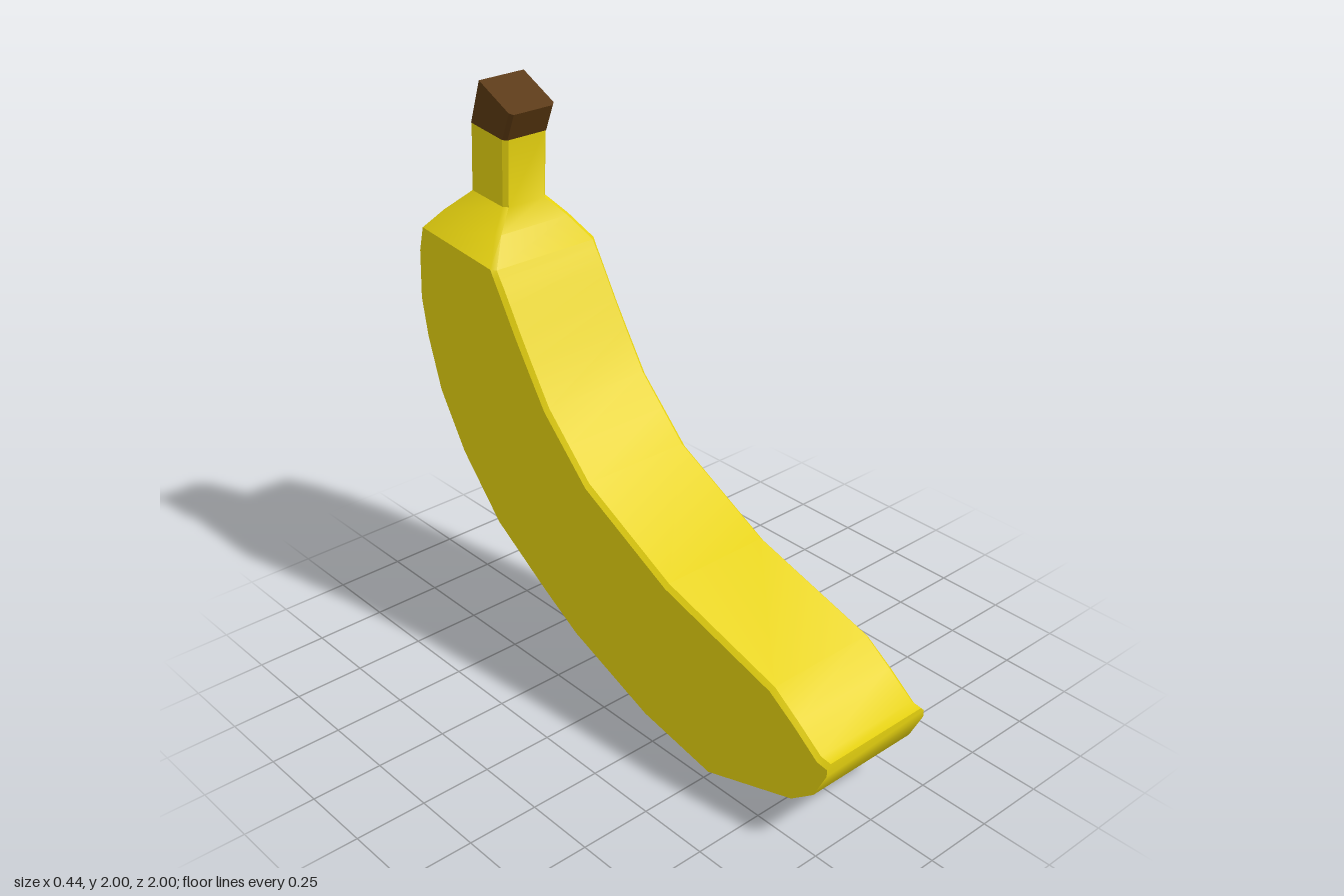
import * as THREE from 'three';
import { toCreasedNormals } from 'three/addons/utils/BufferGeometryUtils.js';

// Loft box-like sections: [inner z, inner y, outer z, outer y, half width].
// The two inner corners are slightly chamfered.
function loft(sections, chamfer) {
  const pos = [];
  const index = [];
  const n = 6;
  for (const [iz, iy, oz, oy, w] of sections) {
    const t = chamfer / Math.hypot(oz - iz, oy - iy);
    const lz = iz + (oz - iz) * t;
    const ly = iy + (oy - iy) * t;
    pos.push(-w, oy, oz, w, oy, oz, w, ly, lz);
    pos.push(w - chamfer, iy, iz, chamfer - w, iy, iz, -w, ly, lz);
  }
  const last = (sections.length - 1) * n;
  for (let s = 0; s < last; s += n) {
    for (let i = 0; i < n; i++) {
      const a = s + i;
      const b = s + (i + 1) % n;
      index.push(a, a + n, b, b, a + n, b + n);
    }
  }
  // end caps
  for (let i = 1; i < n - 1; i++) {
    index.push(0, i, i + 1, last, last + i + 1, last + i);
  }
  const geometry = new THREE.BufferGeometry();
  geometry.setAttribute('position', new THREE.Float32BufferAttribute(pos, 3));
  geometry.setIndex(index);
  return toCreasedNormals(geometry, 0.6);
}

function part(name, geometry, color) {
  const mesh = new THREE.Mesh(geometry, new THREE.MeshStandardMaterial({ color }));
  mesh.name = name;
  return mesh;
}

export function createModel() {
  const group = new THREE.Group();
  group.name = 'banana';
  const W = 0.22;
  const yellow = 0xe6d20f;

  // curved fruit, from the blunt front end up to the shoulder
  const fruit = [
    [1.0, 0.33, 1.0, 0.29, W],
    [0.96, 0.335, 0.95, 0.19, W],
    [0.86, 0.41, 0.86, 0.12, W],
    [0.76, 0.48, 0.49, 0.0, W],
    [0.28, 0.62, 0.18, 0.06, W],
    [-0.11, 0.82, -0.18, 0.2, W],
    [-0.21, 0.92, -0.35, 0.3, W],
    [-0.31, 1.02, -0.6, 0.46, W],
    [-0.4, 1.16, -0.79, 0.67, W],
    [-0.45, 1.24, -0.91, 0.87, W],
    [-0.5, 1.325, -0.97, 1.06, W],
    [-0.53, 1.375, -0.995, 1.2, W],
    [-0.55, 1.405, -0.985, 1.38, W],
    [-0.565, 1.43, -0.96, 1.47, W],
  ];
  // shoulder narrowing into the square stem
  const neck = [
    [-0.62, 1.52, -0.92, 1.53, 0.155],
    [-0.66, 1.59, -0.84, 1.605, 0.09],
    [-0.645, 1.825, -0.825, 1.845, 0.09],
  ];
  group.add(part('peel', loft([...fruit, ...neck], 0.015), yellow));

  // brown stem end, leaning forward
  const tip = [
    [-0.645, 1.825, -0.825, 1.845, 0.092],
    [-0.605, 1.92, -0.77, 2.0, 0.092],
  ];
  group.add(part('stemTip', loft(tip, 0.012), 0x5a3810));
  return group;
}
